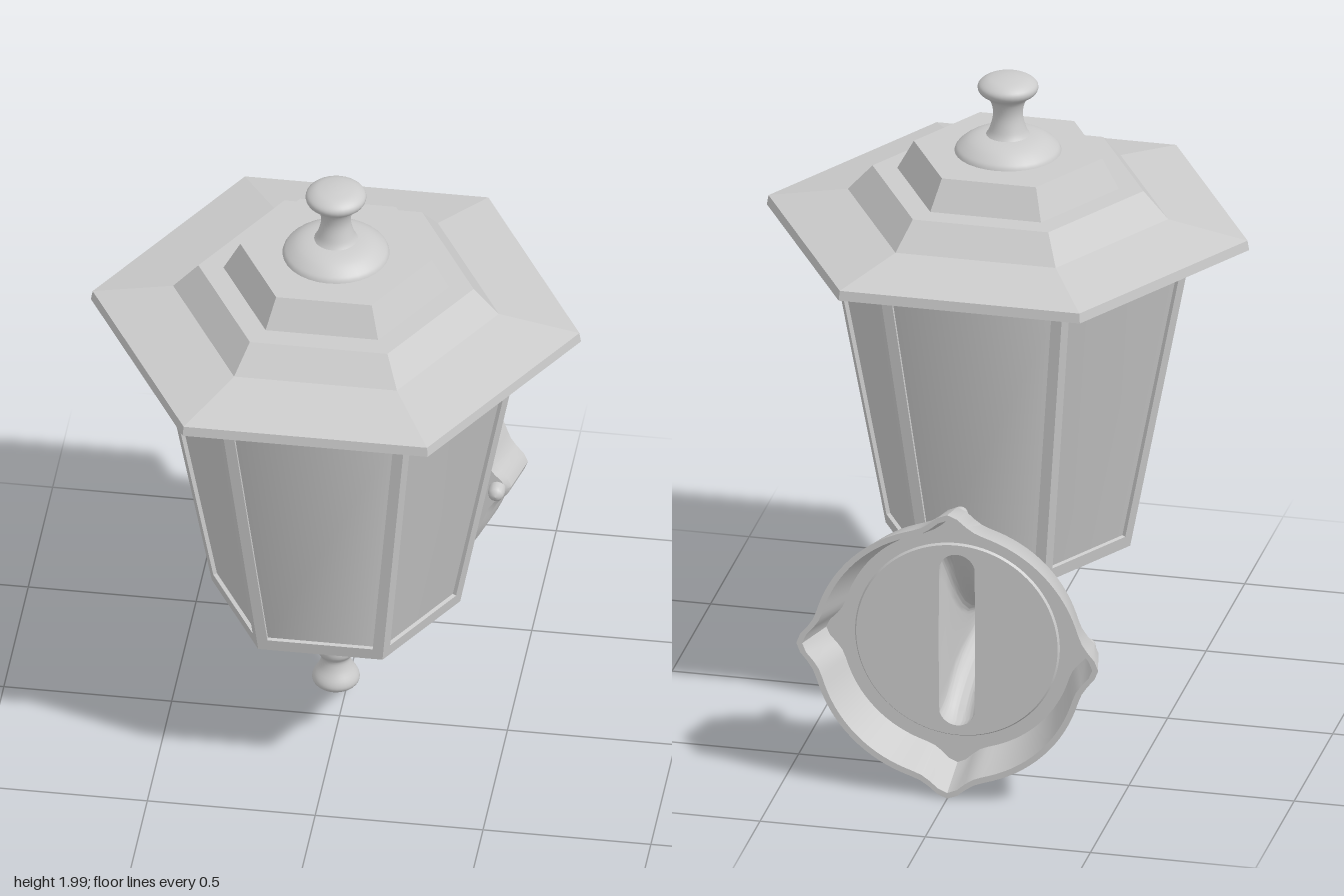
import * as THREE from 'three';
import { toCreasedNormals } from 'three/addons/utils/BufferGeometryUtils.js';

const AXIS_Z = 0.073; // lantern axis
const PLATE_Y = 0.465; // wall plate centre
const N = 96; // points per lofted ring

const smooth = new THREE.MeshStandardMaterial({ color: 0xcccccc, side: THREE.DoubleSide });
const faceted = new THREE.MeshStandardMaterial({ color: 0xcccccc, flatShading: true });

function add(parent, name, geometry, material = smooth) {
  const mesh = new THREE.Mesh(geometry, material);
  mesh.name = name;
  parent.add(mesh);
  return mesh;
}

const vec2 = (list) => list.map(([x, y]) => new THREE.Vector2(x, y));

// Six-sided lathe with corners on the x axis
const hexLathe = (profile) => new THREE.LatheGeometry(vec2(profile), 6, Math.PI / 6);

// Round lathe through a smooth curve of profile points
const turned = (profile) =>
  new THREE.LatheGeometry(new THREE.SplineCurve(vec2(profile)).getPoints(40), 32);

// Skin over rings that run counter-clockwise as seen from +z
function loft(rings, crease = 0.6) {
  const index = [];
  for (let i = 0; i < rings.length - 1; i++) {
    for (let j = 0; j < N; j++) {
      const a = i * N + j, b = i * N + ((j + 1) % N);
      index.push(a, b, b + N, a, b + N, a + N);
    }
  }
  const g = new THREE.BufferGeometry().setFromPoints(rings.flat());
  g.setIndex(index);
  return toCreasedNormals(g, crease);
}

const ring = (fn) => Array.from({ length: N }, (_, j) => fn((j / N) * Math.PI * 2));

// Upright round-ended slot section
function slot(halfWidth, y0, y1, z) {
  const mid = (y0 + y1) / 2;
  const straight = Math.max(0, (y1 - y0) / 2 - halfWidth);
  const endHeight = (y1 - y0) / 2 - straight;
  return ring((t) => {
    const s = Math.sin(t);
    const lift = straight * Math.max(-1, Math.min(1, s * 4));
    return new THREE.Vector3(halfWidth * Math.cos(t), mid + lift + endHeight * s, z);
  });
}

const circle = (r, z) =>
  ring((t) => new THREE.Vector3(r * Math.cos(t), PLATE_Y + r * Math.sin(t), z));

// Round plate outline with four screw lobes
const lobed = (offset, z) => ring((t) => {
  const quarter = Math.PI / 2;
  const d = t - Math.round(t / quarter) * quarter;
  const r = 0.41 + 0.047 * Math.exp(-((d / 0.13) ** 2)) + offset;
  return new THREE.Vector3(r * Math.cos(t), PLATE_Y + r * Math.sin(t), z);
});

function buildLantern() {
  const lantern = new THREE.Group();
  lantern.name = 'lantern';
  lantern.position.z = AXIS_Z;

  // Stepped roof with wide eaves
  add(lantern, 'roof', hexLathe([
    [0, 1.51], [0.73, 1.51], [0.725, 1.54], [0.485, 1.585],
    [0.41, 1.668], [0.335, 1.668], [0.285, 1.76], [0, 1.76],
  ]), faceted);
  add(lantern, 'topRim', hexLathe([[0, 1.488], [0.58, 1.488], [0.58, 1.512]]), faceted);

  // Finial
  add(lantern, 'roofDome', turned([
    [0.16, 1.755], [0.15, 1.775], [0.115, 1.8], [0.07, 1.812], [0, 1.815],
  ]));
  add(lantern, 'finial', turned([
    [0.07, 1.805], [0.055, 1.83], [0.044, 1.88], [0.055, 1.925], [0.085, 1.95],
    [0.088, 1.972], [0.065, 1.99], [0.03, 1.998], [0, 2],
  ]));

  // Tapered window frames, one per side
  const bottom = { y: 0.52, r: 0.37 }, top = { y: 1.49, r: 0.555 };
  const apothem = Math.cos(Math.PI / 6);
  const lean = Math.atan2((top.r - bottom.r) * apothem, top.y - bottom.y);
  const height = (top.y - bottom.y) / Math.cos(lean);
  const half = (y) => THREE.MathUtils.lerp(bottom.r, top.r, y / height) / 2;
  const trapezoid = (y0, y1, inset) => vec2([
    [-half(y0) + inset, y0], [half(y0) - inset, y0],
    [half(y1) - inset, y1], [-half(y1) + inset, y1],
  ]);
  const shape = new THREE.Shape(trapezoid(0, height, 0));
  shape.holes.push(new THREE.Path(trapezoid(0.04, height - 0.035, 0.032)));
  const frame = new THREE.ExtrudeGeometry(shape, { depth: 0.02, bevelEnabled: false });
  frame.translate(0, 0, -0.02).rotateX(lean).translate(0, bottom.y, bottom.r * apothem);
  for (let k = 0; k < 6; k++) {
    add(lantern, 'windowFrame', frame, faceted).rotation.y = (k * Math.PI) / 3;
  }

  // Glass set just behind the frames
  const glass = new THREE.CylinderGeometry(
    top.r - 0.014, bottom.r - 0.014, top.y - bottom.y, 6, 1, true, Math.PI / 6);
  glass.translate(0, (top.y + bottom.y) / 2, 0);
  add(lantern, 'glass', glass);

  // Stepped base and its collar
  add(lantern, 'base', hexLathe([
    [0, 0.47], [0.265, 0.47], [0.315, 0.512], [0.37, 0.52], [0.365, 0.54], [0, 0.54],
  ]), faceted);
  const collar = new THREE.CylinderGeometry(0.14, 0.135, 0.02, 32);
  add(lantern, 'collar', toCreasedNormals(collar.translate(0, 0.465, 0), 0.6));

  // Turned stem and bottom knob
  add(lantern, 'stem', turned([
    [0, 0.178], [0.045, 0.183], [0.068, 0.2], [0.068, 0.222], [0.05, 0.255],
    [0.044, 0.285], [0.058, 0.31], [0.058, 0.35], [0.055, 0.385], [0.066, 0.43], [0.07, 0.465],
  ]));
  return lantern;
}

function buildWallMount() {
  const mount = new THREE.Group();
  mount.name = 'wallMount';

  // Hollow plate, lofted from its inner floor over the rim to its front face
  add(mount, 'wallPlate', loft([
    slot(0.055, 0.19, 0.74, -0.59), circle(0.305, -0.59), circle(0.31, -0.582),
    lobed(-0.06, -0.582), lobed(-0.018, -0.715), lobed(0, -0.715),
    lobed(-0.03, -0.585), lobed(-0.045, -0.57),
    circle(0.312, -0.57), circle(0.305, -0.558), slot(0.055, 0.19, 0.74, -0.558),
  ]));

  // Hollow arm flaring into the plate: z, low edge, high edge, half width
  const stations = [
    [-0.59, 0.19, 0.74, 0.055], [-0.558, 0.19, 0.74, 0.055], [-0.52, 0.213, 0.685, 0.05],
    [-0.47, 0.24, 0.62, 0.048], [-0.41, 0.264, 0.555, 0.047], [-0.34, 0.282, 0.495, 0.046],
    [-0.26, 0.29, 0.443, 0.045], [-0.17, 0.293, 0.408, 0.045], [-0.08, 0.295, 0.393, 0.045],
    [0.07, 0.295, 0.39, 0.045],
  ];
  add(mount, 'arm', loft(stations.map(([z, y0, y1, w]) => slot(w, y0, y1, z)), 0.9));

  // Dome-headed screws in the four lobes
  const screw = new THREE.LatheGeometry(vec2([
    [0.025, 0], [0.025, 0.025], [0.021, 0.038], [0.012, 0.046], [0, 0.049],
  ]), 16).rotateX(Math.PI / 2);
  for (let k = 0; k < 4; k++) {
    const a = (k * Math.PI) / 2;
    add(mount, 'screw', screw)
      .position.set(0.387 * Math.cos(a), PLATE_Y + 0.387 * Math.sin(a), -0.573);
  }
  return mount;
}

export function createModel() {
  const model = new THREE.Group();
  model.name = 'wallLantern';
  model.add(buildLantern(), buildWallMount());
  return model;
}
